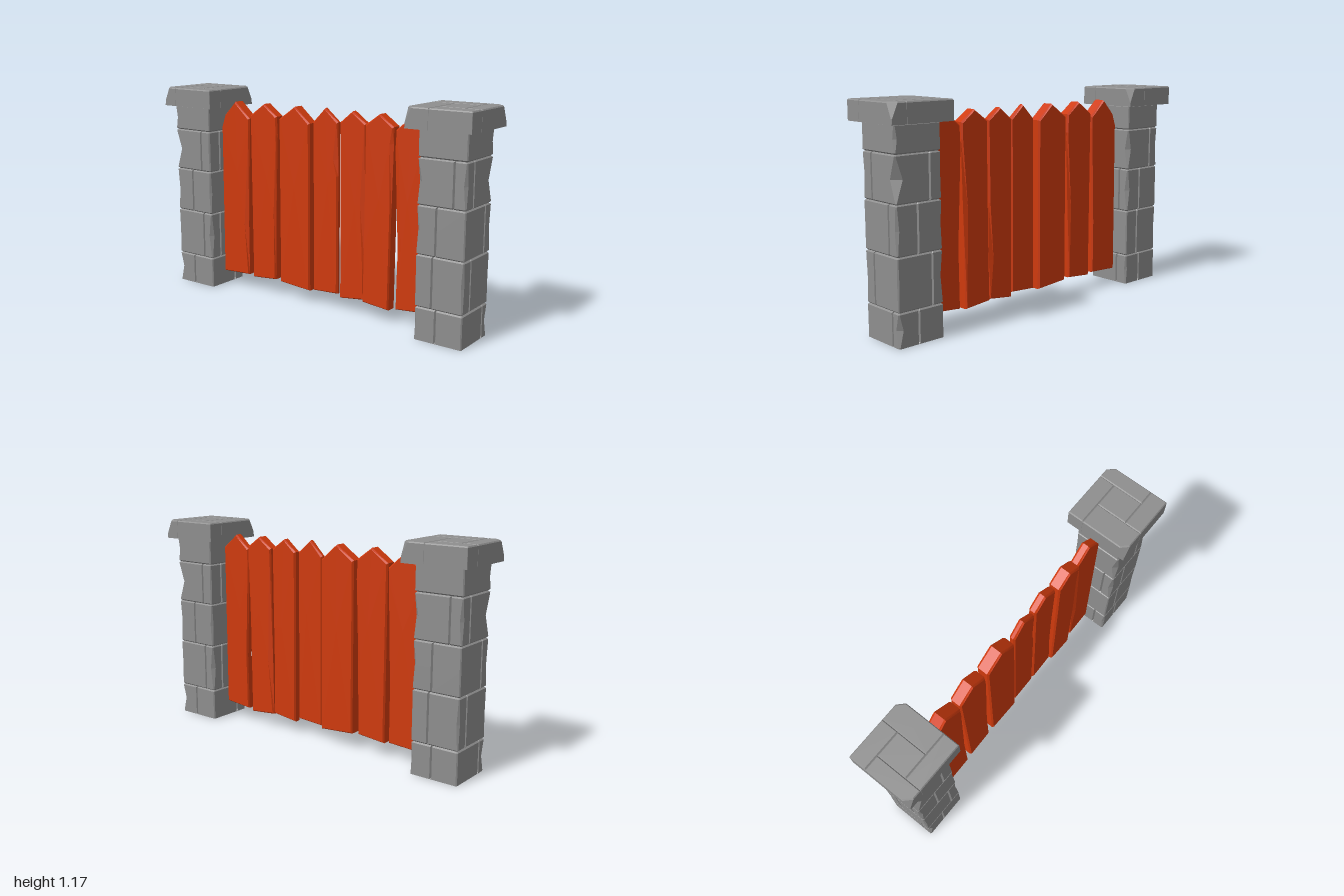
import * as THREE from 'three';

// Flat-shaded skin through matching rings of Vector3, counter-clockwise seen from the last ring
function loft(rings, caps) {
  const pos = [];
  const tri = (a, b, c) => pos.push(...a, ...b, ...c);
  const n = rings[0].length;
  for (let r = 0; r < rings.length - 1; r++) {
    for (let i = 0; i < n; i++) {
      const j = (i + 1) % n, a = rings[r], b = rings[r + 1];
      tri(a[i], a[j], b[j]);
      tri(a[i], b[j], b[i]);
    }
  }
  if (caps) {
    const first = rings[0], last = rings[rings.length - 1];
    const mid = (ring) => ring.reduce((s, p) => s.add(p), new THREE.Vector3()).divideScalar(n);
    const c0 = mid(first), c1 = mid(last);
    for (let i = 0; i < n; i++) {
      const j = (i + 1) % n;
      tri(c0, first[j], first[i]);
      tri(c1, last[i], last[j]);
    }
  }
  const geo = new THREE.BufferGeometry();
  geo.setAttribute('position', new THREE.Float32BufferAttribute(pos, 3));
  geo.computeVertexNormals();
  return geo;
}

// Square course section: a vertical joint on every side and chipped corners
function courseRing(y, half, joints, depth, chips) {
  const ring = [];
  for (let k = 0; k < 4; k++) {
    const put = (t, inset) => {
      let a = t, b = -half + inset;
      for (let q = 0; q < k; q++) [a, b] = [-b, a];
      ring.push(new THREE.Vector3(a, y, -b));
    };
    const t = joints[k];
    put(-half + chips[(k + 3) % 4], 0);
    put(t - 0.006, 0);
    put(t, depth);
    put(t + 0.006, 0);
    put(half - chips[k], 0);
  }
  return ring;
}

const LEVELS = [0, 0.175, 0.445, 0.695, 0.93, 1.07];
// Joint positions: front, right, back, left
const JOINTS = [
  [-0.015, 0.08, -0.015, 0.06],
  [-0.04, -0.06, 0.07, -0.06],
  [-0.025, 0.07, -0.01, 0.07],
  [0.065, -0.06, 0.065, -0.05],
  [0, 0, 0, 0],
];
// Corner chips: front right, back right, back left, front left
const CHIPS = [
  [0.006, 0.025, 0.006, 0.012],
  [0.012, 0.008, 0.02, 0.006],
  [0.006, 0.015, 0.012, 0.02],
  [0.015, 0.042, 0.008, 0.025],
  [0.006, 0.015, 0.006, 0.006],
];

function createPillar(stone) {
  const pillar = new THREE.Group();
  // Stone courses
  JOINTS.forEach((joints, i) => {
    const y0 = LEVELS[i], y1 = LEVELS[i + 1], even = [0.005, 0.005, 0.005, 0.005];
    const depth = i < 4 ? 0.01 : 0, h = 0.133;
    const lowInset = i ? 0.008 : 0;
    const course = new THREE.Mesh(loft([
      courseRing(y0, h - lowInset, joints, 0, even),
      courseRing(y0 + 0.007, h, joints, depth, even),
      courseRing(y0 + (y1 - y0) * 0.5, h, joints, depth, CHIPS[i]),
      courseRing(y1 - 0.007, h, joints, depth, even),
      courseRing(y1, h - 0.008, joints, 0, even),
    ], false), stone);
    course.name = 'stoneCourse';
    pillar.add(course);
  });
  // Capstone: four blocks in a pinwheel around a centre block [u0, u1, v0, v1, chipped corner]
  const a = 0.36, b = 0.76, c = 0.25, d = 0.73;
  const blocks = [
    [0, b, 0, c, -1], [b, 1, 0, d, 2], [a, 1, d, 1, -1], [0, a, c, 1, 0], [a, b, c, d, -1],
  ];
  for (const [u0, u1, v0, v1, chipped] of blocks) {
    const ring = (y, inset, chip) => {
      const x0 = u0 * 0.358 - 0.184 + inset, x1 = u1 * 0.358 - 0.184 - inset;
      const z0 = v0 * 0.36 - 0.175 + inset, z1 = v1 * 0.36 - 0.175 - inset;
      const corners = [[x0, z1], [x1, z1], [x1, z0], [x0, z0]];
      return corners.flatMap(([x, z], i) => {
        const s = i === chipped ? chip : 0.001;
        const toward = ([px, pz]) =>
          new THREE.Vector3(x + Math.sign(px - x) * s, y, z + Math.sign(pz - z) * s);
        return [toward(corners[(i + 3) % 4]), toward(corners[(i + 1) % 4])];
      });
    };
    const block = new THREE.Mesh(loft([
      ring(1.07, 0, 0.001), ring(1.1, 0, 0.004), ring(1.169, 0, 0.035), ring(1.175, 0.005, 0.035),
    ], true), stone);
    block.name = 'capBlock';
    pillar.add(block);
  }
  return pillar;
}

// Board outlines [x, y, front chip, back chip], counter-clockwise, with back and front z
const BOARDS = [
  { z: [-0.04, 0.035], pts: [[-0.69, 0.08], [-0.495, 0.09], [-0.495, 0.39, -0.022], [-0.475, 0.95],
    [-0.475, 1.015], [-0.58, 1.105], [-0.66, 1.025], [-0.685, 0.96]] },
  { z: [-0.04, 0.03], pts: [[-0.465, 0.08], [-0.297, 0.095], [-0.29, 0.5, -0.008, -0.015], [-0.275, 0.94],
    [-0.28, 1.04], [-0.37, 1.105], [-0.47, 1.035]] },
  { z: [-0.045, 0.03], pts: [[-0.26, 0.09], [-0.05, 0.075], [-0.05, 1.02], [-0.15, 1.105], [-0.26, 1.03]] },
  { z: [-0.02, 0.015], pts: [[-0.035, 0.08], [0.13, 0.09], [0.13, 0.75], [0.13, 0.84, -0.025], [0.13, 1.04],
    [0.045, 1.11], [-0.035, 1.03]] },
  { z: [-0.035, 0.012], pts: [[0.145, 0.07], [0.305, 0.09], [0.302, 0.3, -0.004, -0.02], [0.302, 0.61, -0.022],
    [0.305, 1.045], [0.22, 1.105], [0.14, 1.04]] },
  { z: [-0.04, 0.03], pts: [[0.305, 0.085], [0.47, 0.07], [0.477, 0.6, 0, -0.02], [0.485, 0.96, -0.015],
    [0.485, 1.045], [0.4, 1.105], [0.315, 1.045], [0.31, 0.4, 0, 0.025]] },
  { z: [-0.035, 0.015], pts: [[0.505, 0.08], [0.675, 0.095], [0.675, 1.03], [0.58, 1.105], [0.49, 1.03],
    [0.485, 0.93, 0.018], [0.51, 0.4, 0.02]] },
];

function boardGeometry({ z: [back, front], pts }) {
  const xs = pts.map((p) => p[0]);
  const cx = (Math.min(...xs) + Math.max(...xs)) / 2, hw = Math.max(...xs) - cx;
  const ring = (z, inset, chip) => pts.map((p) => {
    const x = p[0] + (chip ? p[chip] || 0 : 0);
    return new THREE.Vector3(
      cx + (x - cx) * (1 - inset / hw), 0.59 + (p[1] - 0.59) * (1 - inset / 0.51), z);
  });
  return loft([
    ring(back, 0.007, 3), ring(back + 0.01, 0, 0), ring(front - 0.01, 0, 0), ring(front, 0.007, 2),
  ], true);
}

export function createModel() {
  const stone = new THREE.MeshStandardMaterial({ color: 0x8e8e8e, side: THREE.DoubleSide });
  stone.name = 'grey stone';
  const wood = new THREE.MeshStandardMaterial({ color: 0xcf3a0d });
  wood.name = 'orange wood';

  const model = new THREE.Group();
  model.name = 'fenceSection';

  // The two pillars are half-turn copies of each other
  for (const side of [1, -1]) {
    const pillar = createPillar(stone);
    pillar.name = side > 0 ? 'leftPillar' : 'rightPillar';
    pillar.position.x = side * 0.826;
    if (side < 0) pillar.rotation.y = Math.PI;
    model.add(pillar);
  }

  // Pointed boards
  const boards = new THREE.Group();
  boards.name = 'boards';
  for (const spec of BOARDS) {
    const board = new THREE.Mesh(boardGeometry(spec), wood);
    board.name = 'board';
    boards.add(board);
  }
  model.add(boards);
  return model;
}
